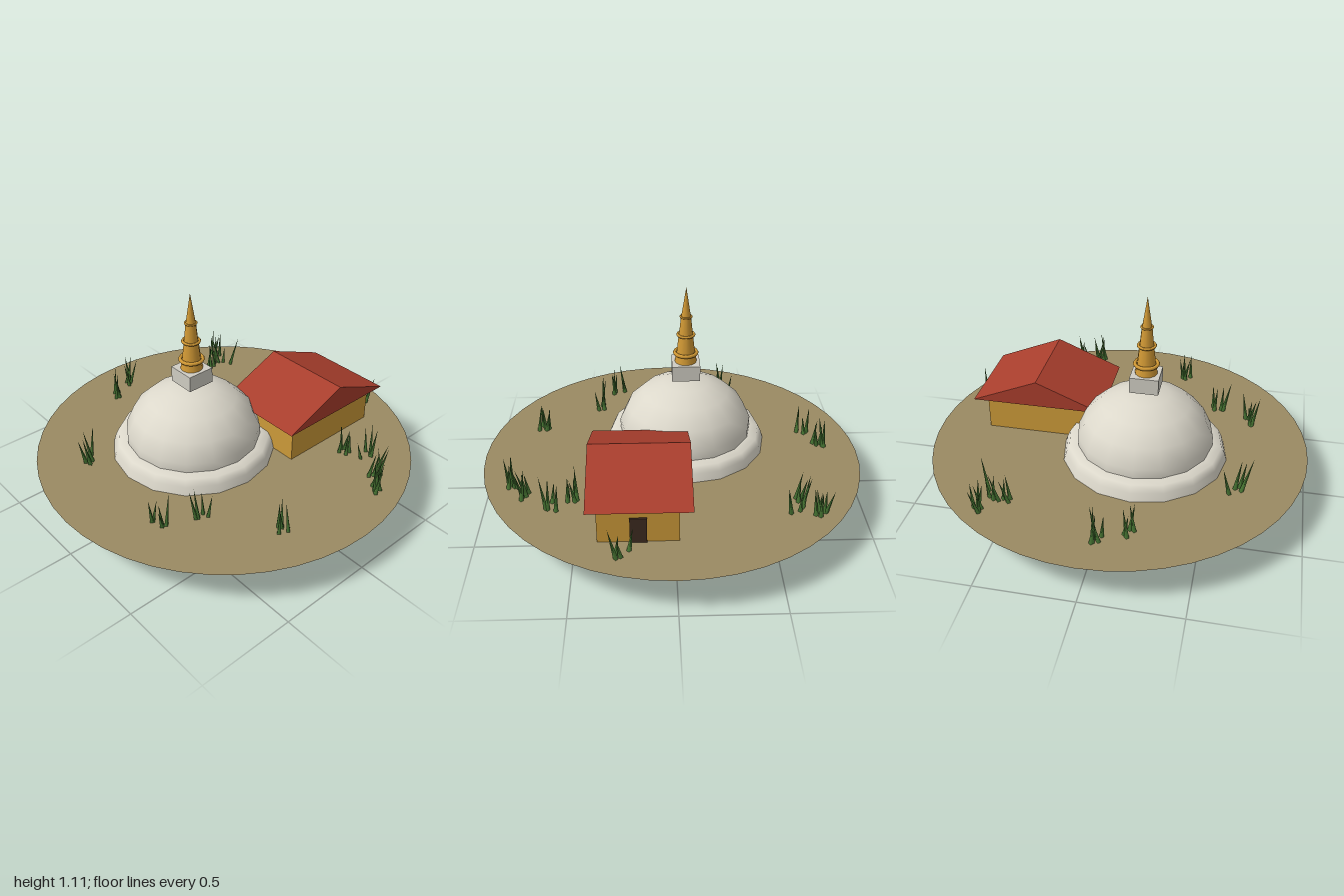
import * as THREE from 'three';

const GROUND = 0.208;
const CX = -0.15, CZ = -0.077; // axis of the stupa

function mat(name, color, side = THREE.FrontSide) {
  const m = new THREE.MeshStandardMaterial({ color, side });
  m.name = name;
  return m;
}

const plaster = mat('white plaster', 0xdcd8cb, THREE.DoubleSide);
const stone = mat('pale stone', 0xd0cdc3);
const gold = mat('gold', 0xd39a35);
const ochre = mat('ochre wall', 0xcc9a39);
const tile = mat('red roof', 0xa93e2d);
const wood = mat('dark wood', 0x3d2b20);
const earth = mat('dry earth', 0x9a8a63, THREE.DoubleSide);
const leaf = mat('grass green', 0x4a7a35);

function add(parent, name, geometry, material, x = 0, y = 0, z = 0) {
  const mesh = new THREE.Mesh(geometry, material);
  mesh.name = name;
  mesh.position.set(x, y, z);
  parent.add(mesh);
  return mesh;
}

const lathe = (pts, sides) =>
  new THREE.LatheGeometry(pts.map(([r, y]) => new THREE.Vector2(r, y)), sides);

// Flat disc with an opening under the stupa
function buildGround(root) {
  const shape = new THREE.Shape();
  shape.absarc(0, 0, 1, 0, Math.PI * 2);
  const hole = [];
  for (let i = 0; i < 16; i++) {
    const a = (i / 16) * Math.PI * 2;
    hole.push(new THREE.Vector2(CX + 0.43 * Math.cos(a), -CZ + 0.43 * Math.sin(a)));
  }
  shape.holes.push(new THREE.Path(hole));
  const geo = new THREE.ShapeGeometry(shape, 24).rotateX(-Math.PI / 2);
  add(root, 'ground', geo, earth, 0, GROUND, 0);
}

function buildStupa(root) {
  const g = new THREE.Group();
  g.name = 'stupa';
  g.position.set(CX, 0, CZ);
  root.add(g);

  // Flattened dome and its sloping plinth
  add(g, 'dome', new THREE.SphereGeometry(1, 16, 9).scale(0.36, 0.292, 0.36), plaster, 0, 0.292, 0);
  add(g, 'plinth', lathe([[0.433, 0.206], [0.42, 0.25], [0.402, 0.288], [0.345, 0.293]], 16), plaster);
  add(g, 'crownBlock', new THREE.BoxGeometry(0.147, 0.084, 0.147), stone, 0, 0.649, 0);

  // Spire of tapering tiers, each with a ring
  const tiers = [
    [0.69, 0.742, 0.058, 0.05],
    [0.742, 0.845, 0.048, 0.037],
    [0.845, 0.946, 0.036, 0.026],
    [0.946, 1.107, 0.025, 0.0],
  ];
  for (const [y0, y1, r0, r1] of tiers) {
    add(g, 'spireTier', new THREE.CylinderGeometry(r1, r0, y1 - y0, 12), gold, 0, (y0 + y1) / 2, 0);
  }
  for (const [y, r] of [[0.742, 0.058], [0.845, 0.043], [0.946, 0.029]]) {
    const t = r * 0.17;
    add(g, 'spireRing', new THREE.TorusGeometry(r, t, 6, 16).rotateX(Math.PI / 2), gold, 0, y, 0);
  }
}

function buildHouse(root) {
  const g = new THREE.Group();
  g.name = 'house';
  root.add(g);
  add(g, 'walls', new THREE.BoxGeometry(0.585, 0.21, 0.383), ochre, 0.4375, 0.31, 0.178);
  add(g, 'door', new THREE.BoxGeometry(0.009, 0.14, 0.08), wood, 0.7345, 0.275, 0.177);

  // Gabled roof, ridge along z
  const gable = new THREE.Shape([
    new THREE.Vector2(-0.35, 0), new THREE.Vector2(0.35, 0), new THREE.Vector2(0, 0.145),
  ]);
  const roof = new THREE.ExtrudeGeometry(gable, { depth: 0.492, bevelEnabled: false });
  add(g, 'roof', roof, tile, 0.4365, 0.412, -0.076);
}

// Tufts of thin leaning blades
function buildGrass(root) {
  let seed = 7;
  const rnd = () => (seed = (seed * 16807) % 2147483647) / 2147483647;
  const tufts = [
    [-0.2, -0.73, 4], [-0.06, -0.8, 5], [0.55, -0.71, 6], [0.45, -0.6, 4], [0.52, -0.59, 3],
    [-0.65, -0.32, 4], [-0.69, 0.3, 5], [-0.5, 0.38, 4], [-0.27, 0.71, 5], [0.82, 0.25, 4],
    [0.41, 0.51, 5], [0.46, 0.61, 4], [0.37, 0.74, 5], [0.29, 0.81, 5],
  ];
  const up = new THREE.Vector3(0, 1, 0);
  for (const [x, z, count] of tufts) {
    const g = new THREE.Group();
    g.name = 'grassTuft';
    g.position.set(x, GROUND - 0.002, z);
    root.add(g);
    for (let i = 0; i < count; i++) {
      const h = 0.11 + 0.09 * rnd();
      const geo = new THREE.ConeGeometry(0.012, h, 4).translate(0, h / 2, 0);
      const blade = add(g, 'blade', geo, leaf, (rnd() - 0.5) * 0.07, 0, (rnd() - 0.5) * 0.07);
      const lean = new THREE.Vector3((rnd() - 0.5) * 0.55, 1, (rnd() - 0.5) * 0.4).normalize();
      blade.quaternion.setFromUnitVectors(up, lean);
    }
  }
}

export function createModel() {
  const root = new THREE.Group();
  root.name = 'stupaScene';
  buildGround(root);
  buildStupa(root);
  buildHouse(root);
  buildGrass(root);
  return root;
}
